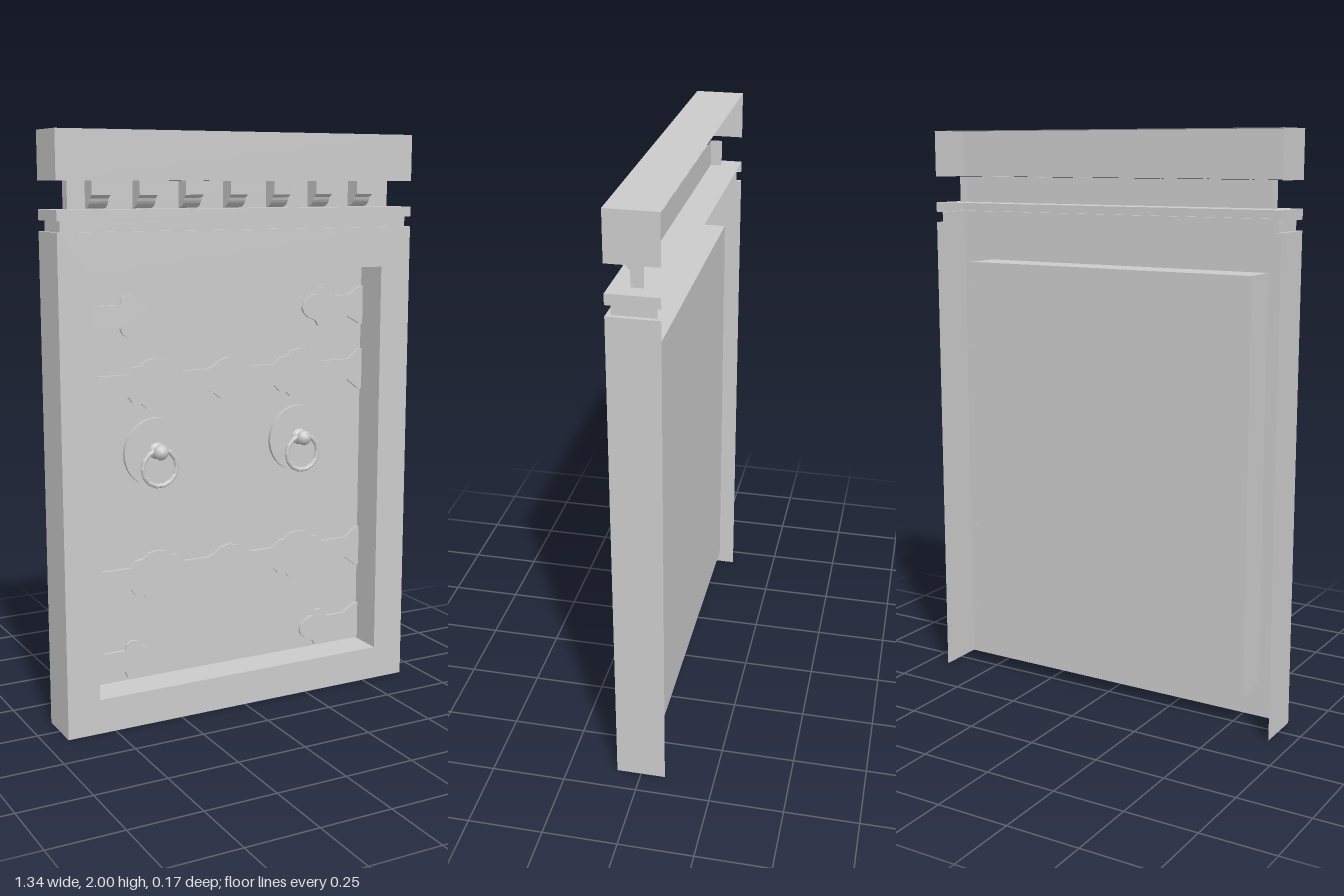
import * as THREE from 'three';

const solid = new THREE.MeshStandardMaterial({ color: 0xcccccc });
const thin = new THREE.MeshStandardMaterial({ color: 0xcccccc, side: THREE.DoubleSide });
const faceted = new THREE.MeshStandardMaterial({ color: 0xcccccc, flatShading: true });

const W = 0.67, D = 0.083;          // half width and half depth of the gate
const DOOR_Z = -0.045;              // plane of the recessed door
const L = -0.555, R = 0.55, B = 0.12, T = 1.54; // opening

function add(parent, name, geo, mat, x = 0, y = 0, z = 0) {
  const m = new THREE.Mesh(geo, mat);
  m.name = name;
  m.position.set(x, y, z);
  parent.add(m);
  return m;
}

// Thin rectangles facing along each axis
function faceX(parent, name, x, y0, y1, z0, z1) {
  add(parent, name, new THREE.PlaneGeometry(z1 - z0, y1 - y0), thin, x, (y0 + y1) / 2, (z0 + z1) / 2)
    .rotation.y = Math.sign(x) * Math.PI / 2;
}
function faceY(parent, name, y, x0, x1, z0, z1) {
  add(parent, name, new THREE.PlaneGeometry(x1 - x0, z1 - z0), thin, (x0 + x1) / 2, y, (z0 + z1) / 2)
    .rotation.x = -Math.PI / 2;
}
function faceZ(parent, name, z, x0, x1, y0, y1) {
  add(parent, name, new THREE.PlaneGeometry(x1 - x0, y1 - y0), thin, (x0 + x1) / 2, (y0 + y1) / 2, z);
}

// Front and two sides, open at the back
function openBand(parent, name, hw, y0, y1, zFront, zBack) {
  const g = new THREE.Group();
  g.name = name;
  parent.add(g);
  faceZ(g, name + 'Front', zFront, -hw, hw, y0, y1);
  for (const s of [-1, 1]) faceX(g, name + 'Side', s * hw, y0, y1, zBack, zFront);
  return g;
}

// Narrow ledge around the front and sides
function ledge(parent, y, inset) {
  faceY(parent, 'ledgeFront', y, -W, W, D - inset, D);
  faceY(parent, 'ledgeLeft', y, W - inset, W, -D, D - inset);
  faceY(parent, 'ledgeRight', y, -W, -W + inset, -D, D - inset);
}

// Flat plate on the door, from a half outline mirrored about its long axis
function plate(parent, name, pts, y) {
  const lower = pts.filter(p => p[1] > 0).map(([x, h]) => [x, -h]).reverse();
  const shape = new THREE.Shape([...pts, ...lower].map(p => new THREE.Vector2(...p)));
  const geo = new THREE.ExtrudeGeometry(shape, { depth: 0.011, bevelEnabled: false });
  return add(parent, name, geo, solid, 0, y, DOOR_Z);
}

function knocker(x) {
  const g = new THREE.Group();
  g.name = 'knocker';
  const disc = add(g, 'backPlate', new THREE.CylinderGeometry(0.12, 0.12, 0.014, 40), solid, 0, 0, 0.007);
  disc.rotation.x = Math.PI / 2;
  // Turned knob
  const profile = [[0.03, 0.012], [0.026, 0.022], [0.016, 0.028], [0.015, 0.036], [0.025, 0.042],
    [0.027, 0.052], [0.021, 0.064], [0.011, 0.071], [0, 0.073]].map(p => new THREE.Vector2(...p));
  add(g, 'knob', new THREE.LatheGeometry(profile, 16), solid, 0, 0.005, 0).rotation.x = Math.PI / 2;
  // Hanging ring
  add(g, 'ring', new THREE.TorusGeometry(0.064, 0.0085, 8, 14), faceted, 0, -0.05, 0.038);
  g.position.set(x, 0.925, DOOR_Z);
  return g;
}

export function createModel() {
  const model = new THREE.Group();
  model.name = 'gate';

  // Frame: front sheet with an opening, and outer sides
  const frame = new THREE.Group();
  frame.name = 'frame';
  model.add(frame);
  const sheet = new THREE.Shape([[-W, 0], [W, 0], [W, 1.68], [-W, 1.68]].map(p => new THREE.Vector2(...p)));
  sheet.holes.push(new THREE.Path([[L, B], [L, T], [R, T], [R, B]].map(p => new THREE.Vector2(...p))));
  add(frame, 'frameFront', new THREE.ShapeGeometry(sheet), thin, 0, 0, D);
  for (const s of [-1, 1]) faceX(frame, 'frameSide', s * W, 0, 1.68, -D, D);

  // Reveal of the opening and the door at its back
  for (const x of [L, R]) faceX(frame, 'revealSide', x, B, T, DOOR_Z, D);
  for (const y of [B, T]) faceY(frame, 'revealEnd', y, L, R, DOOR_Z, D);
  faceZ(model, 'door', DOOR_Z, L, R, B, T);

  // Stepped cornice
  const cornice = new THREE.Group();
  cornice.name = 'cornice';
  model.add(cornice);
  ledge(cornice, 1.68, 0.015);
  openBand(cornice, 'neck', W - 0.015, 1.68, 1.715, D - 0.015, -D + 0.015);
  ledge(cornice, 1.715, 0.015);
  openBand(cornice, 'slab', W, 1.715, 1.75, D, -D);
  faceY(cornice, 'slabTop', 1.75, -W, W, -D, D);

  // Row of corbels on a narrow wall
  const frieze = openBand(model, 'frieze', 0.61, 1.75, 1.84, 0.02, -0.02);
  const side = new THREE.Shape();
  side.moveTo(0.02, 1.84);
  side.lineTo(0.078, 1.84);
  side.lineTo(0.078, 1.795);
  side.lineTo(0.062, 1.785);
  side.quadraticCurveTo(0.055, 1.755, 0.02, 1.752);
  const corbelGeo = new THREE.ExtrudeGeometry(side, { depth: 0.064, bevelEnabled: false, curveSegments: 6 });
  corbelGeo.rotateY(-Math.PI / 2);
  for (let i = 0; i < 7; i++) add(frieze, 'corbel', corbelGeo, solid, -0.485 + i * 0.1655, 0, 0);

  // Top beam, open at the back and below
  const beam = openBand(model, 'beam', W, 1.84, 2, D, -D);
  faceY(beam, 'beamTop', 2, -W, W, -D, D);

  // Long straps across the door
  const half = [[-0.557, 0.075], [-0.535, 0.073], [-0.49, 0.038], [-0.385, 0.038], [-0.368, 0.06],
    [-0.335, 0.066], [-0.318, 0.082], [-0.283, 0.088], [-0.248, 0.082], [-0.231, 0.066],
    [-0.203, 0.06], [-0.18, 0.038], [-0.085, 0.038], [-0.06, 0.048], [-0.035, 0.067]];
  const strap = [...half, [0, 0.076], ...half.map(([x, h]) => [-x, h]).reverse()];
  for (const y of [1.161, 0.487]) plate(model, 'longStrap', strap, y);

  // Short pointed straps in the corners
  const point = [[-0.557, 0.07], [-0.535, 0.067], [-0.485, 0.038], [-0.41, 0.038], [-0.402, 0.06],
    [-0.385, 0.07], [-0.362, 0.067], [-0.35, 0.048], [-0.32, 0.035], [-0.302, 0.018], [-0.295, 0]];
  for (const y of [1.395, 0.193]) {
    plate(model, 'cornerStrapRight', point, y);
    plate(model, 'cornerStrapLeft', point.map(([x, h]) => [-x, h]), y);
  }

  for (const x of [-0.283, 0.283]) model.add(knocker(x));
  return model;
}
